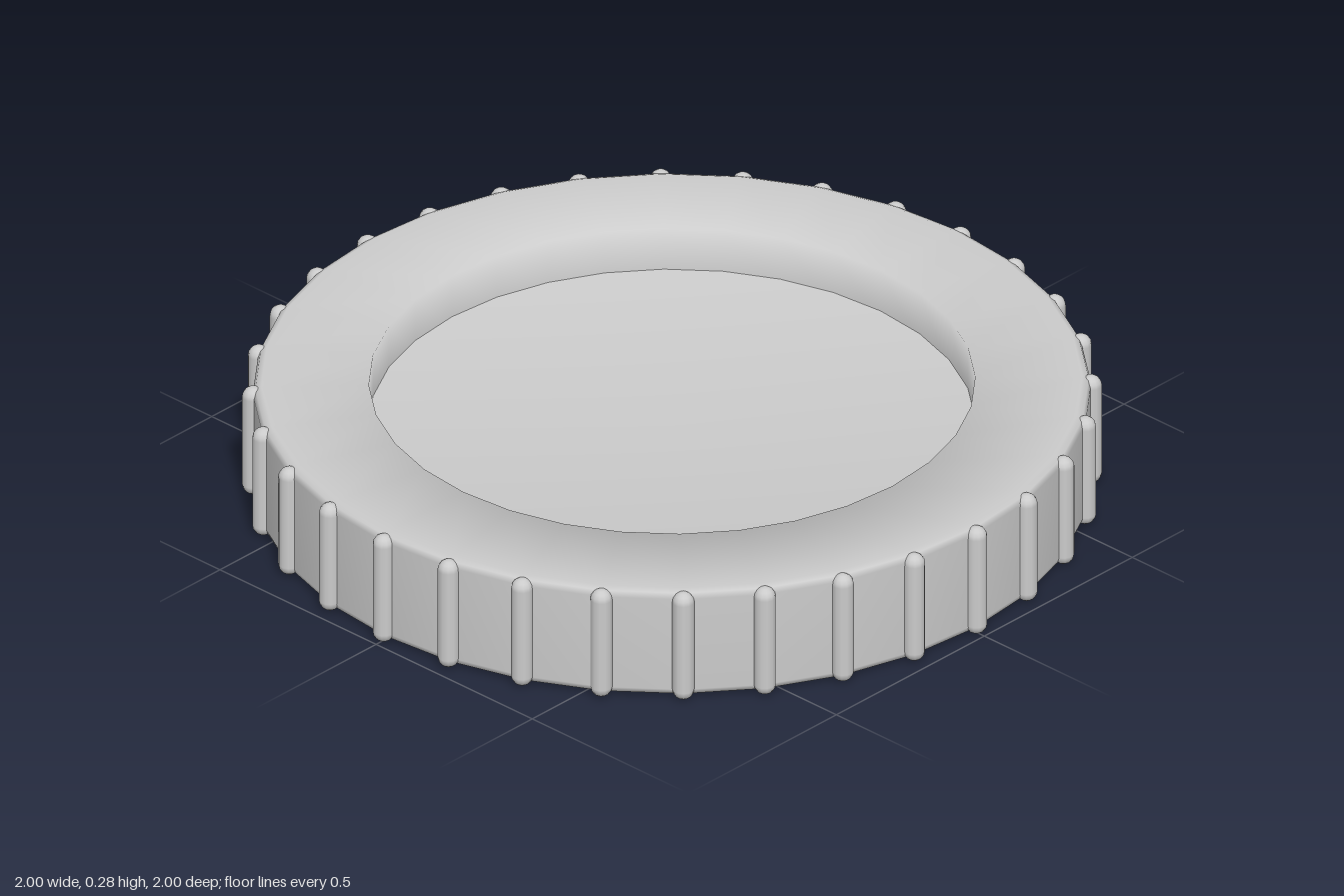
import * as THREE from 'three';

const SIDES = 32;
const HEIGHT = 0.285;
const material = new THREE.MeshStandardMaterial({ color: 0xcccccc });

function lathe(name, profile) {
  const points = profile.map(([r, y]) => new THREE.Vector2(r, y));
  const mesh = new THREE.Mesh(new THREE.LatheGeometry(points, SIDES), material);
  mesh.name = name;
  return mesh;
}

export function createModel() {
  const model = new THREE.Group();
  model.name = 'ribbedDisc';

  // Thick outer ring with softly bevelled outer edges
  const inner = 0.705, outer = 0.975, bevel = 0.02;
  model.add(lathe('ring', [
    [inner, HEIGHT / 2],
    [inner, 0.003],
    [outer - bevel, 0.003],
    [outer - bevel * 0.3, 0.003 + bevel * 0.3],
    [outer, 0.003 + bevel],
    [outer, HEIGHT - bevel],
    [outer - bevel * 0.3, HEIGHT - bevel * 0.3],
    [outer - bevel, HEIGHT],
    [inner, HEIGHT],
    [inner, HEIGHT / 2],
  ]));

  // Recessed floors, their lips tucked inside the ring
  const seat = inner + 0.004;
  model.add(lathe('upperFloor', [[seat, 0.27], [seat, 0.175], [0, 0.175]]));
  model.add(lathe('lowerFloor', [[0, 0.115], [seat, 0.115], [seat, 0.02]]));

  // Rounded grip ribs, one on each corner of the ring
  const ribRadius = 0.026;
  const ribGeometry = new THREE.CapsuleGeometry(ribRadius, HEIGHT - 2 * ribRadius, 4, 12);
  const ribs = new THREE.Group();
  ribs.name = 'gripRibs';
  for (let i = 0; i < SIDES; i++) {
    const angle = (i / SIDES) * Math.PI * 2;
    const rib = new THREE.Mesh(ribGeometry, material);
    rib.name = 'gripRib';
    rib.position.set(Math.sin(angle) * 0.974, HEIGHT / 2, Math.cos(angle) * 0.974);
    rib.rotation.y = angle;
    ribs.add(rib);
  }
  model.add(ribs);

  return model;
}
